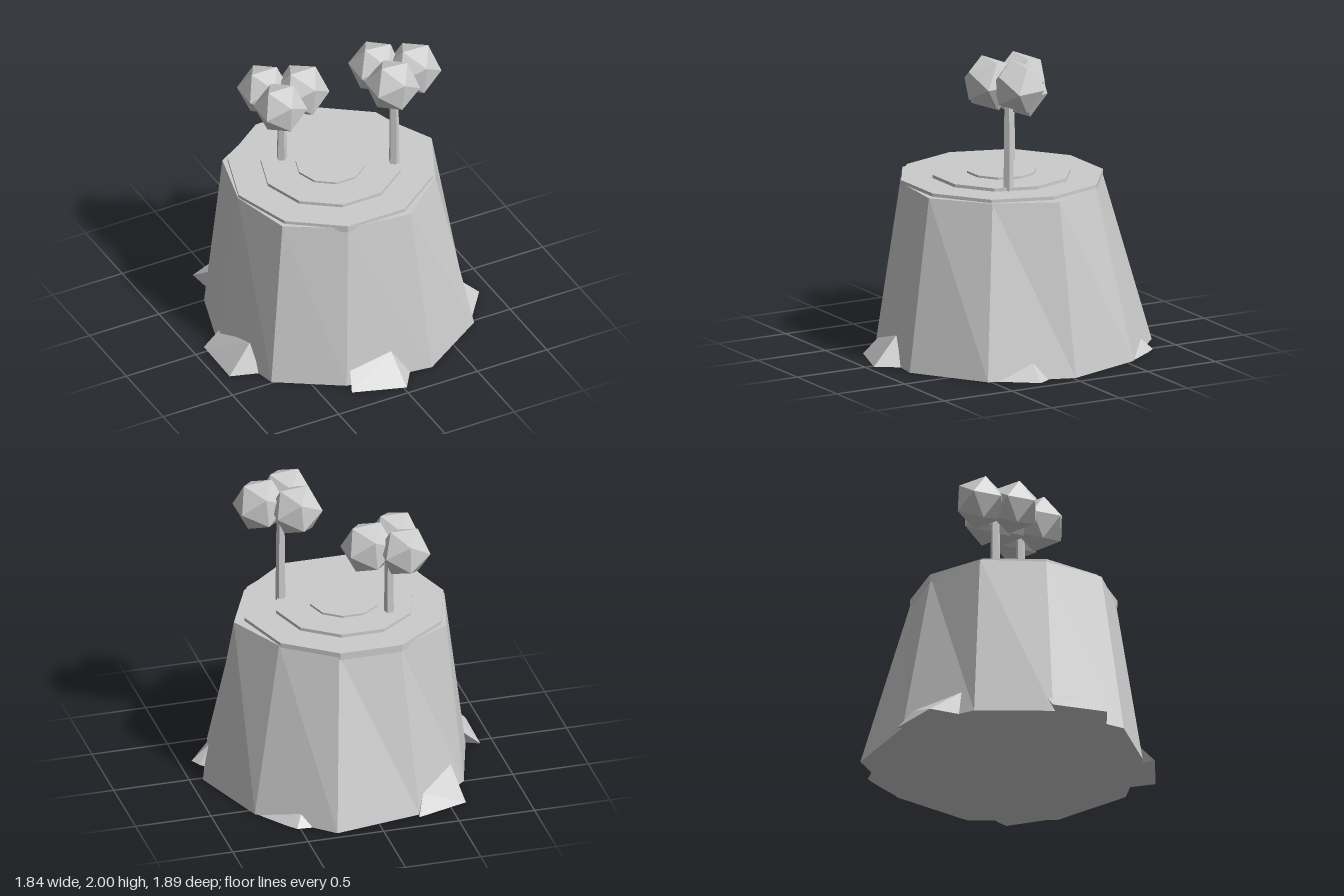
import * as THREE from 'three';
import { ConvexGeometry } from 'three/addons/geometries/ConvexGeometry.js';

const stone = new THREE.MeshStandardMaterial({ color: 0xcccccc, flatShading: true });
stone.name = 'pale grey';

export function createModel() {
  const root = new THREE.Group();
  root.name = 'stumpWithTrees';

  const add = (parent, name, geometry, x = 0, y = 0, z = 0) => {
    const mesh = new THREE.Mesh(geometry, stone);
    mesh.name = name;
    mesh.position.set(x, y, z);
    parent.add(mesh);
    return mesh;
  };

  // Irregular ten-sided stump: matching base and rim outlines as [x, z]
  const base = [[0.915, -0.02], [0.73, 0.52], [0.265, 0.825], [-0.31, 0.75], [-0.715, 0.49],
    [-0.825, -0.02], [-0.675, -0.5], [-0.28, -0.85], [0.29, -0.945], [0.725, -0.555]];
  const rim = [[0.71, -0.02], [0.53, 0.37], [0.205, 0.648], [-0.22, 0.6], [-0.58, 0.385],
    [-0.685, -0.02], [-0.58, -0.43], [-0.22, -0.64], [0.19, -0.64], [0.52, -0.4]];
  const H = 1.11;
  const pos = [];
  base.forEach((b, i) => {
    const j = (i + 1) % base.length;
    const B = [b[0], 0, b[1]], B2 = [base[j][0], 0, base[j][1]];
    const T = [rim[i][0], H, rim[i][1]], T2 = [rim[j][0], H, rim[j][1]];
    pos.push(...B2, ...B, ...T2, ...B, ...T, ...T2); // wall
    pos.push(0, H, 0, ...T2, ...T, 0, 0, 0, ...B, ...B2); // caps
  });
  const stump = new THREE.BufferGeometry();
  stump.setAttribute('position', new THREE.Float32BufferAttribute(pos, 3));
  stump.computeVertexNormals();
  add(root, 'stump', stump);

  // Three stepped growth rings on the cut top
  [[0.66, 1.083, 1.132], [0.45, 1.1, 1.153], [0.225, 1.12, 1.167]].forEach(([r, y0, y1], i) => {
    const g = new THREE.CylinderGeometry(r, r, y1 - y0, 10).rotateY(Math.PI / 2);
    add(root, 'growthRing' + (i + 1), g, -0.02, (y0 + y1) / 2, -0.02);
  });

  // Angular root stubs around the base, buried at the back in the stump
  const roots = [
    [[-0.315, 0, 0.83], [0.02, 0, 0.945], [0.12, 0, 0.8], [0, 0.18, 0.77], [-0.28, 0.1, 0.74], [-0.1, 0, 0.6]],
    [[-0.915, 0, -0.05], [-0.92, 0, 0.31], [-0.73, 0, 0.37], [-0.755, 0.18, 0.27], [-0.8, 0.1, -0.05], [-0.6, 0, 0.1]],
    [[-0.61, 0, -0.775], [-0.27, 0, -0.885], [-0.58, 0, -0.45], [-0.32, 0.11, -0.79], [-0.57, 0.18, -0.53], [-0.35, 0, -0.5]],
    [[0.4, 0, -0.83], [0.52, 0, -0.82], [0.575, 0, -0.755], [0.7, 0, -0.58], [0.47, 0.08, -0.745], [0.4, 0, -0.6]],
    [[0.86, 0, 0.15], [0.88, 0, 0.17], [0.915, 0, 0.24], [0.74, 0, 0.47], [0.8, 0.11, 0.23], [0.6, 0, 0.2]],
  ];
  roots.forEach((pts, i) =>
    add(root, 'root' + (i + 1), new ConvexGeometry(pts.map((p) => new THREE.Vector3(...p)))));

  // Trees: slim trunk with three faceted foliage balls [x, z, radius, tilt]
  const tree = (name, x, z, crownY, balls) => {
    const group = new THREE.Group();
    group.name = name;
    root.add(group);
    const y0 = 1.12;
    add(group, 'trunk', new THREE.CylinderGeometry(0.027, 0.035, crownY - y0, 5), x, (crownY + y0) / 2, z);
    balls.forEach(([bx, bz, r, turn, tilt], i) => {
      const ball = add(group, 'foliage' + (i + 1), new THREE.IcosahedronGeometry(r, 0), bx, crownY, bz);
      ball.rotation.set(0.05, turn, tilt);
    });
  };
  tree('shortTree', -0.262, -0.222, 1.637, [
    [-0.327, -0.345, 0.172, 0, 0],
    [-0.327, -0.118, 0.172, 0, 0],
    [-0.12, -0.225, 0.18, 0.08, -0.06],
  ]);
  tree('tallTree', 0.35, 0.148, 1.842, [
    [0.285, 0.02, 0.176, 0, -0.08],
    [0.285, 0.25, 0.178, 0, -0.08],
    [0.488, 0.15, 0.18, 0.05, -0.08],
  ]);

  return root;
}
